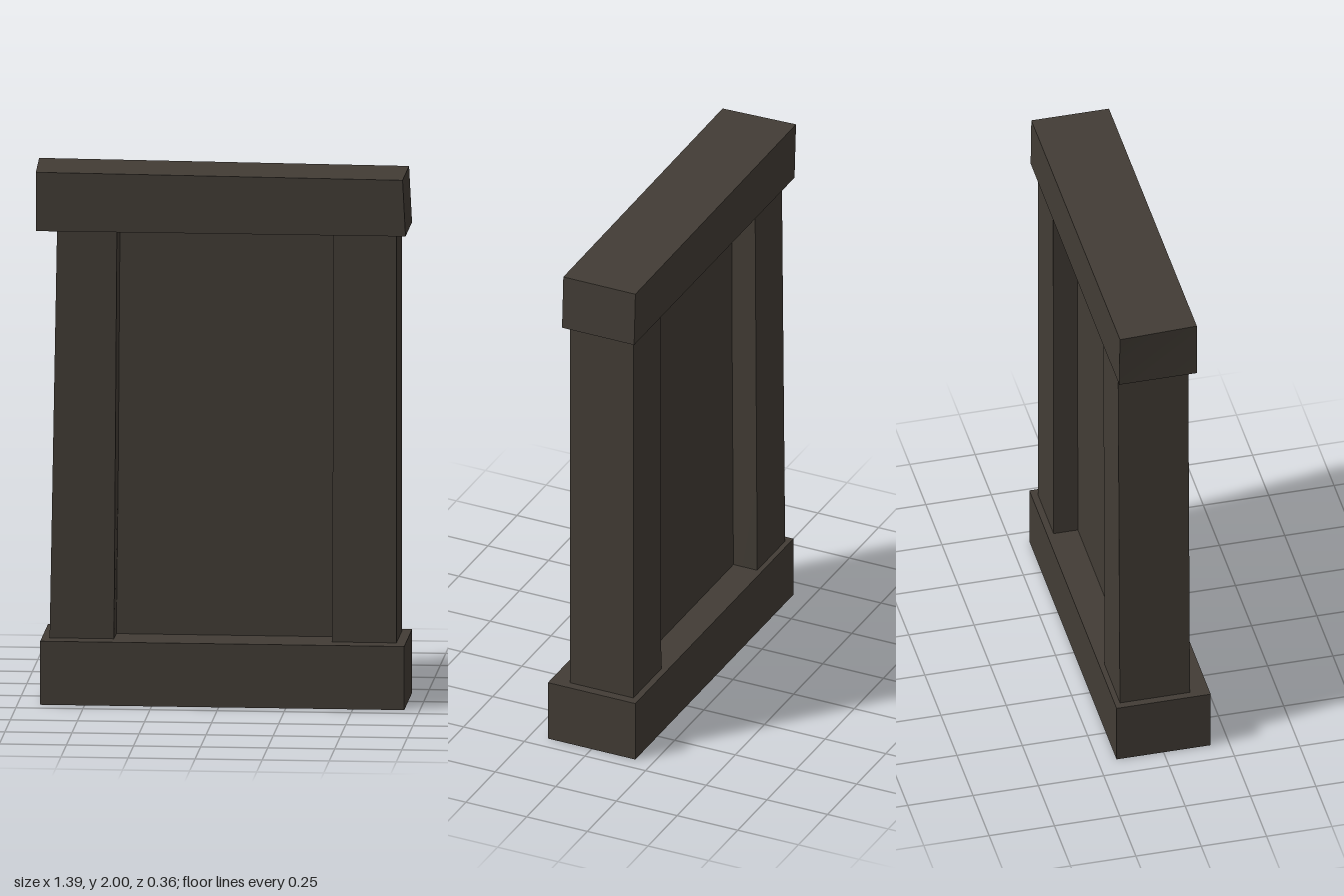
import * as THREE from 'three';

// Box whose corners are moved: fn(sx, sy, sz) returns the corner for signs -1 / +1
function block(name, material, fn) {
  const geometry = new THREE.BoxGeometry(2, 2, 2);
  const p = geometry.attributes.position;
  for (let i = 0; i < p.count; i++) {
    p.setXYZ(i, ...fn(Math.sign(p.getX(i)), Math.sign(p.getY(i)), Math.sign(p.getZ(i))));
  }
  geometry.computeVertexNormals();
  const mesh = new THREE.Mesh(geometry, material);
  mesh.name = name;
  return mesh;
}

export function createModel() {
  const group = new THREE.Group();
  group.name = 'stoneDoorway';
  const stone = new THREE.MeshStandardMaterial({ color: 0x423c35 });
  stone.name = 'darkStone';
  const pick = (s, low, high) => (s < 0 ? low : high);

  // Plinth at the foot
  group.add(block('base', stone, (x, y, z) => [pick(x, -0.665, 0.692), pick(y, 0, 0.24), z * 0.18]));

  // Leaning, slightly twisted post on the right
  group.add(block('rightPost', stone, (x, y, z) => [
    pick(x, pick(y, -0.636, -0.608), pick(y, -0.396, -0.385) + (y > 0 && z < 0 ? 0.007 : 0)),
    pick(y, 0.23, 1.79),
    pick(z, -0.16, 0.108),
  ]));

  // Upright post on the left
  group.add(block('leftPost', stone, (x, y, z) => [
    pick(x, pick(y, 0.417, 0.423), 0.657),
    pick(y, 0.23, 1.79),
    pick(z, -0.155, 0.107),
  ]));

  // Slab set back between the posts
  group.add(block('panel', stone, (x, y, z) => [
    pick(x, -0.42, 0.45), pick(y, 0.22, 1.8), pick(z, -0.062, 0),
  ]));

  // Crooked lintel with skewed ends
  group.add(block('lintel', stone, (x, y, z) => [
    pick(x, pick(y, -0.685, pick(z, -0.698, -0.686)), pick(y, 0.692, 0.681)),
    pick(y, 1.778, pick(x, 2, 1.99)),
    pick(z, -0.175, 0.122),
  ]));

  return group;
}
